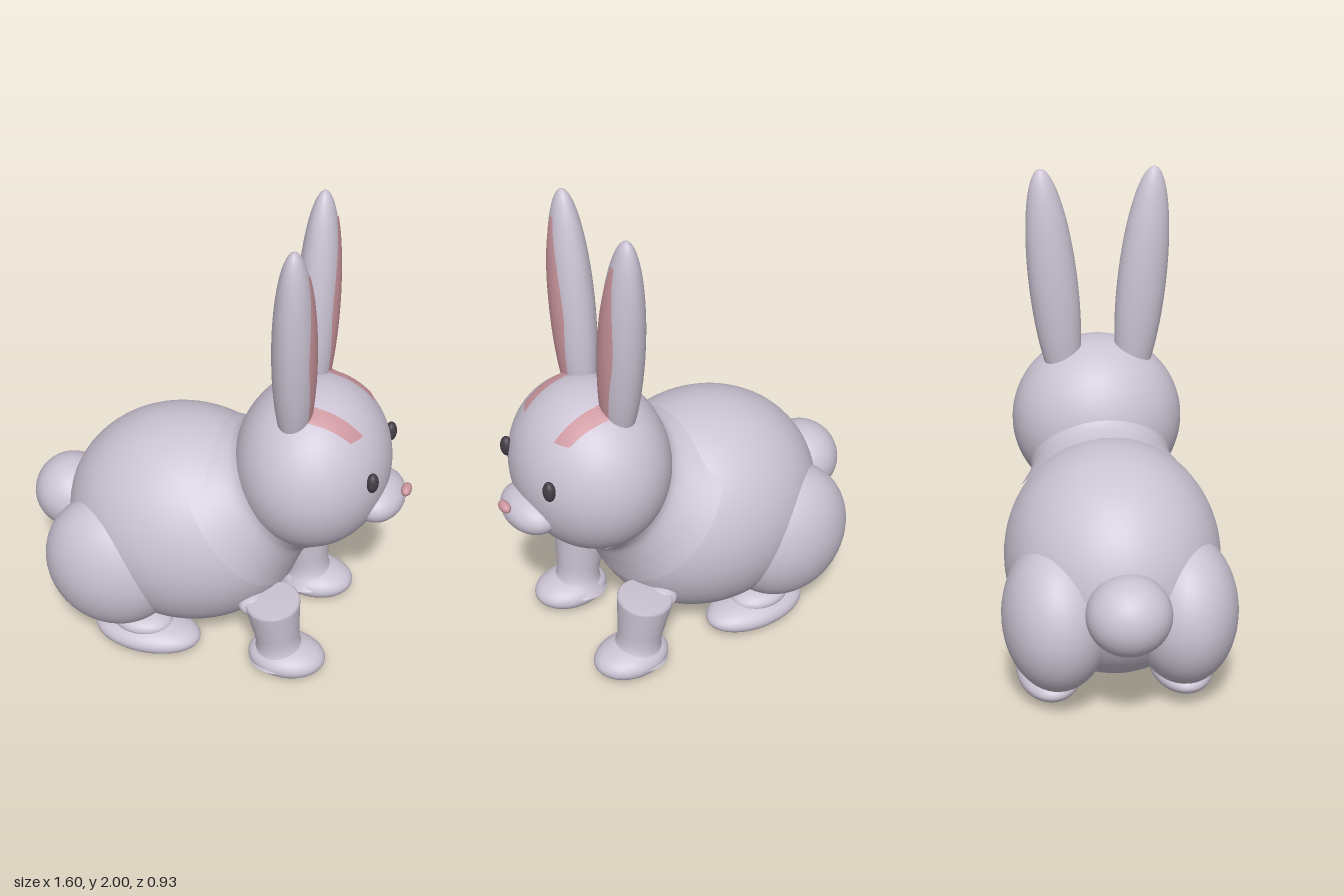
import * as THREE from 'three';

const fur = new THREE.MeshStandardMaterial({ name: 'lavender grey fur', color: 0xcbc3d3 });
const pink = new THREE.MeshStandardMaterial({ name: 'soft pink', color: 0xcb969e });
const dark = new THREE.MeshStandardMaterial({ name: 'dark eye', color: 0x443e47 });

const HEAD = { c: [0.395, 0.925, 0], r: [0.31, 0.355, 0.355] };
const EAR = { c: [0.345, 1.52, 0.18], r: [0.083, 0.48, 0.1], lean: 0.1 };

function mesh(name, geometry, material) {
  const m = new THREE.Mesh(geometry, material);
  m.name = name;
  return m;
}

function ellipsoid(name, material, c, r, segments = 48) {
  const g = new THREE.SphereGeometry(1, segments, Math.round(segments * 0.7));
  g.scale(...r);
  const m = mesh(name, g, material);
  m.position.set(...c);
  return m;
}

// Smooth lathe through a few [radius, height] points
function lathe(name, points, smooth = true) {
  let p = points.map(([x, y]) => new THREE.Vector2(x, y));
  if (smooth) p = new THREE.SplineCurve(p).getPoints(24);
  return mesh(name, new THREE.LatheGeometry(p, 48), fur);
}

// Ear ellipsoid, sheared so the tip leans outward
function ear(side) {
  const m = ellipsoid('ear', fur, [EAR.c[0], EAR.c[1], side * EAR.c[2]], EAR.r);
  const p = m.geometry.attributes.position;
  for (let i = 0; i < p.count; i++) p.setZ(i, p.getZ(i) + side * EAR.lean * p.getY(i));
  m.geometry.computeVertexNormals();
  return m;
}

// Thin pink skin that follows the ear front and runs down onto the forehead
function innerEar(side) {
  const g = new THREE.PlaneGeometry(2, 1, 10, 130);
  const p = g.attributes.position;
  const front = (o, y, z) => {
    const k = 1 - ((y - o.c[1]) / o.r[1]) ** 2 - (z / o.r[2]) ** 2;
    return k > 0 ? o.c[0] + o.r[0] * Math.sqrt(k) : -1;
  };
  const width = new THREE.SplineCurve([[0, 0.03], [0.2, 0.042], [0.6, 0.057], [0.85, 0.04], [1, 0.012]]
    .map(([a, b]) => new THREE.Vector2(a, b)));
  for (let i = 0; i < p.count; i++) {
    const t = p.getY(i) + 0.5;
    const y = 1.16 + 0.74 * t;
    const middle = EAR.c[2] + EAR.lean * (y - EAR.c[1]);
    const across = -p.getX(i) * width.getPoint(t).y;
    const z = side * middle + across;
    const x = Math.max(front(EAR, y, across), front(HEAD, y, z));
    p.setXYZ(i, x + 0.004, y + 0.004, z);
  }
  g.computeVertexNormals();
  return mesh('innerEar', g, pink);
}

// Flat-topped foreleg tapering to the ankle, tilted back toward the body
function foreleg(side) {
  const leg = lathe('foreleg', [
    [0.13, -0.03], [0.1, 0.01], [0.09, 0.05], [0.094, 0.1], [0.104, 0.18],
    [0.113, 0.25], [0.113, 0.262], [0.105, 0.27], [0, 0.27]], false);
  leg.position.set(0.34, 0.1, side * 0.25);
  leg.rotation.set(side * 0.04, 0, 0.12);
  return leg;
}

export function createModel() {
  const rabbit = new THREE.Group();
  rabbit.name = 'rabbit';

  // Trunk and tail
  rabbit.add(
    ellipsoid('body', fur, [-0.13, 0.53, 0], [0.5, 0.468, 0.435], 64),
    ellipsoid('tail', fur, [-0.643, 0.525, 0], [0.157, 0.157, 0.165]));

  // Neck: a concave collar blending body into head
  const neck = lathe('neck', [[0.385, 0.27], [0.335, 0.345], [0.296, 0.42], [0.291, 0.47], [0.31, 0.54]]);
  const axis = new THREE.Vector3(0.803, 0.597, 0).normalize();
  neck.quaternion.setFromUnitVectors(new THREE.Vector3(0, 1, 0), axis);
  neck.position.set(-0.11, 0.502, 0);
  rabbit.add(neck);

  // Head
  rabbit.add(
    ellipsoid('head', fur, HEAD.c, HEAD.r, 64),
    ellipsoid('muzzle', fur, [0.665, 0.803, 0], [0.108, 0.085, 0.148]),
    ellipsoid('nose', pink, [0.776, 0.853, 0], [0.021, 0.022, 0.036], 24));

  // Paired parts; the animal faces +x, so its left is -z
  for (const side of [-1, 1]) {
    const half = new THREE.Group();
    half.name = side < 0 ? 'leftSide' : 'rightSide';
    half.add(
      ear(side),
      innerEar(side),
      ellipsoid('eye', dark, [0.668, 0.993, side * 0.171], [0.024, 0.043, 0.028], 24),
      ellipsoid('haunch', fur, [-0.38, 0.405, side * 0.25], [0.286, 0.305, 0.216]),
      ellipsoid('hindFoot', fur, [-0.227, 0.072, side * 0.27], [0.228, 0.071, 0.132]),
      ellipsoid('hindAnkle', fur, [-0.25, 0.13, side * 0.27], [0.13, 0.05, 0.1], 32),
      foreleg(side),
      ellipsoid('shoulder', fur, [0.22, 0.325, side * 0.24], [0.06, 0.045, 0.08], 32),
      ellipsoid('forefoot', fur, [0.373, 0.072, side * 0.252], [0.162, 0.071, 0.125]));
    rabbit.add(half);
  }
  return rabbit;
}
